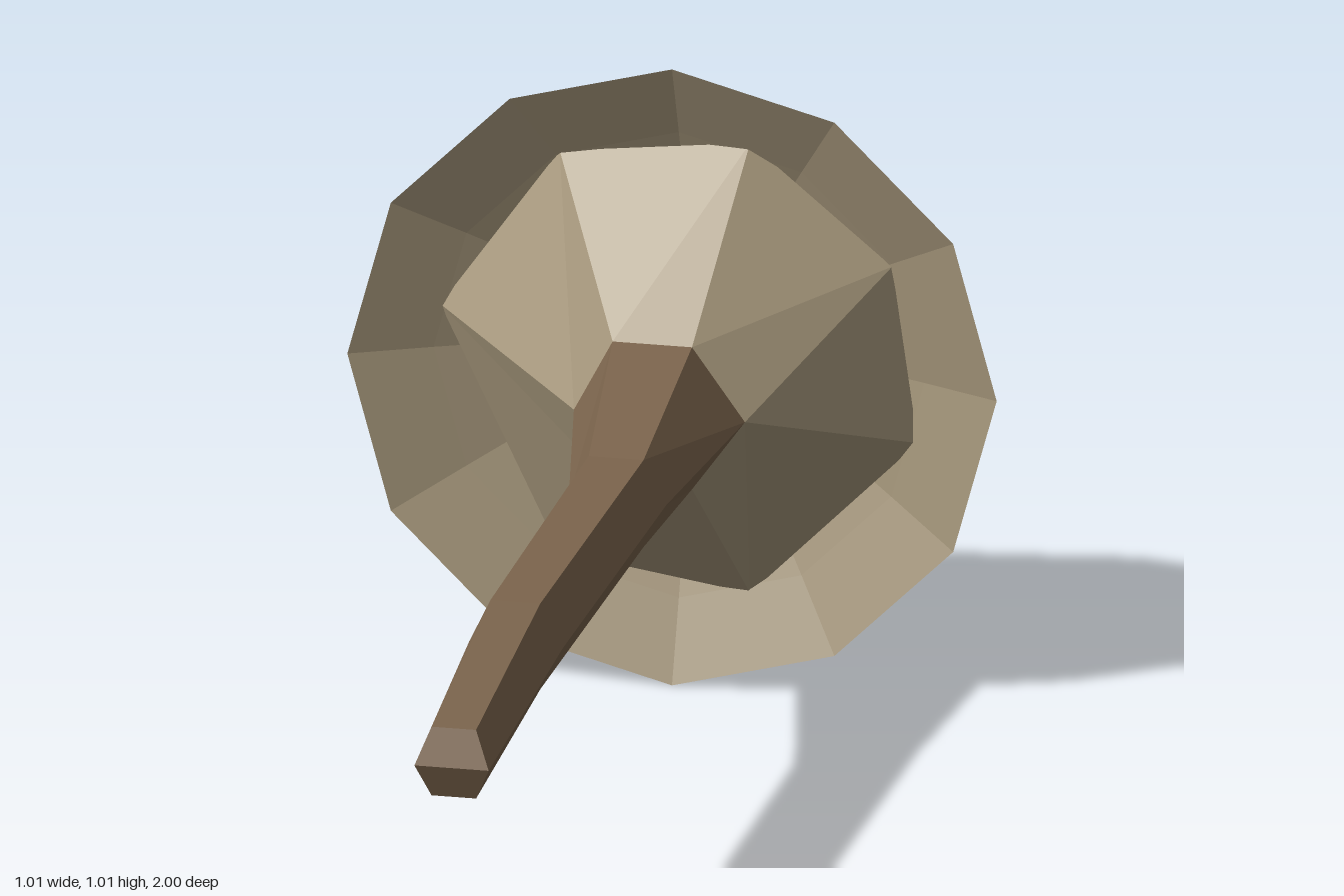
import * as THREE from 'three';

const CY = 0.5; // height of the long axis, which runs along z

// Mesh from a list of triangles, each a triple of [x, y, z] corners
function facetMesh(name, triangles, material) {
  const geometry = new THREE.BufferGeometry();
  geometry.setAttribute('position', new THREE.Float32BufferAttribute(triangles.flat(2), 3));
  geometry.computeVertexNormals();
  const mesh = new THREE.Mesh(geometry, material);
  mesh.name = name;
  return mesh;
}

// Six-sided section: right and left corners, flat edge from l to r, half height h
function section({ z, left, l, r, right, h, edgeZ = z }) {
  return [
    [right, CY, z], [r, CY + h, edgeZ], [l, CY + h, edgeZ],
    [left, CY, z], [l, CY - h, edgeZ], [r, CY - h, edgeZ],
  ];
}

export function createModel() {
  const group = new THREE.Group();
  group.name = 'mushroom';
  const capMaterial = new THREE.MeshStandardMaterial({ color: 0xa8997d, flatShading: true });
  capMaterial.name = 'pale tan';
  const stemMaterial = new THREE.MeshStandardMaterial({ color: 0x7c654d, flatShading: true });
  stemMaterial.name = 'brown';

  // Cap: twelve-sided dome with a hollow underside, lying with its tip to the back
  const profile = [[0.25, 0.755], [0.38, 0.703], [0.503, 0.65], [0.44, 0.782], [0.155, 0.91], [0, 1]]
    .map(([r, y]) => new THREE.Vector2(r, y));
  const capGeometry = new THREE.LatheGeometry(profile, 12);
  capGeometry.rotateX(-Math.PI / 2);
  capGeometry.translate(0, CY, 0);
  const cap = new THREE.Mesh(capGeometry, capMaterial);
  cap.name = 'cap';
  group.add(cap);

  // Stem: slightly bent, flaring toward the cap
  const sections = [
    { z: -0.49, left: -0.12, l: -0.06, r: 0.063, right: 0.145, h: 0.116 },
    { z: -0.13, left: -0.056, l: -0.025, r: 0.06, right: 0.095, h: 0.071 },
    { z: 0.48, left: -0.088, l: -0.055, r: 0.022, right: 0.057, h: 0.07 },
    { z: 1, left: -0.069, l: -0.047, r: 0.022, right: 0.046, h: 0.056, edgeZ: 0.977 },
  ].map(section);
  const stem = [];
  for (let i = 0; i < sections.length - 1; i++) {
    const [low, high] = [sections[i], sections[i + 1]];
    for (let k = 0; k < 6; k++) {
      const n = (k + 1) % 6;
      stem.push([low[k], low[n], high[n]], [low[k], high[n], high[k]]);
    }
  }
  // Folded foot closing the stem
  const foot = sections[3];
  for (const [a, b, c] of [[0, 1, 2], [0, 2, 3], [3, 4, 5], [3, 5, 0]]) {
    stem.push([foot[a], foot[b], foot[c]]);
  }
  group.add(facetMesh('stem', stem, stemMaterial));

  // Gills: seven-cornered cone joining the stem to the underside of the cap
  const inner = sections[0];
  const outer = [
    [0.37, 0.40], [0.33, 0.685], [0.11, 0.87], [-0.185, 0.835],
    [-0.37, 0.57], [-0.185, 0.18], [0.11, 0.135],
  ].map(([x, y]) => [x, y, -0.705]);
  const gills = [];
  for (let k = 0; k < 7; k++) {
    const next = outer[(k + 1) % 7];
    gills.push([outer[k], next, inner[k % 6]]);
    if (k < 6) gills.push([next, inner[(k + 1) % 6], inner[k]]);
  }
  group.add(facetMesh('gills', gills, capMaterial));

  return group;
}
